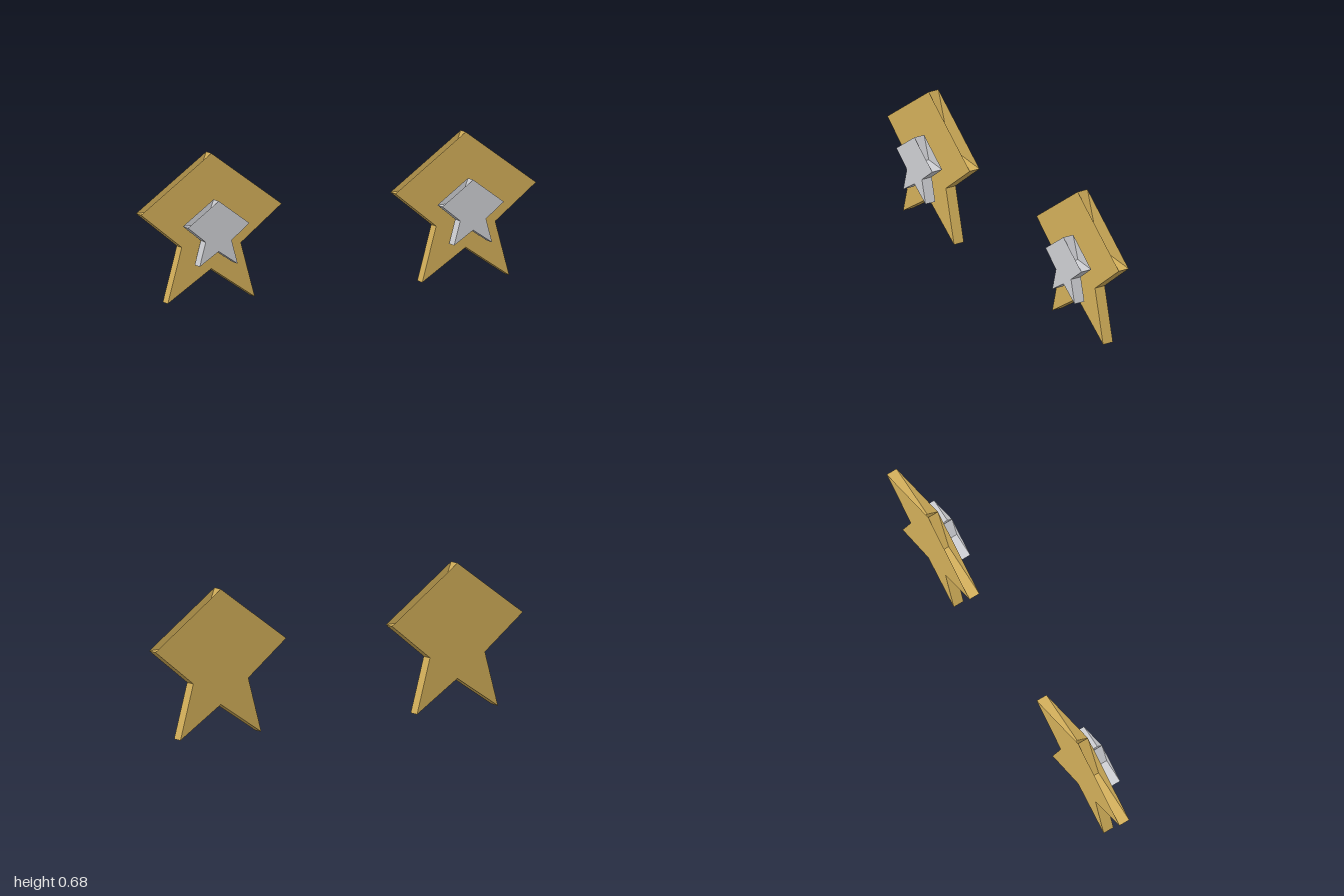
import * as THREE from 'three';

const gold = new THREE.MeshStandardMaterial({ color: 0xd4b05a, side: THREE.DoubleSide });
gold.name = 'gold';
const silver = new THREE.MeshStandardMaterial({ color: 0xcfd0d4, side: THREE.DoubleSide });
silver.name = 'silver';

// Ten corners of a regular star, clockwise from the top point
function starPoints(radius) {
  const points = [];
  for (let i = 0; i < 10; i++) {
    const r = i % 2 ? radius * 0.42 : radius;
    const a = (i * Math.PI) / 5;
    points.push([r * Math.sin(a), r * Math.cos(a)]);
  }
  return points;
}

// Star walls between two flat caps; the caps fan out from the top point,
// so they bridge the two upper notches while the walls fold inward there
function starGeometry(radius, depth) {
  const p = starPoints(radius);
  const h = depth / 2;
  const v = [];
  const put = (i, z) => v.push(p[i][0], p[i][1], z);

  for (let i = 0; i < 10; i++) {
    const j = (i + 1) % 10;
    put(i, h); put(j, -h); put(i, -h);
    put(i, h); put(j, h); put(j, -h);
  }
  for (let i = 1; i < 9; i++) {
    // the notch triangles at either end of the fan turn the other way
    const notch = i === 1 || i === 8;
    const a = notch ? i : i + 1;
    const b = notch ? i + 1 : i;
    put(0, h); put(a, h); put(b, h);
    put(0, -h); put(b, -h); put(a, -h);
  }

  const geometry = new THREE.BufferGeometry();
  geometry.setAttribute('position', new THREE.Float32BufferAttribute(v, 3));
  geometry.computeVertexNormals();
  return geometry;
}

export function createModel() {
  const model = new THREE.Group();
  model.name = 'starPair';
  const largeStar = starGeometry(0.3743, 0.052);
  const smallStar = starGeometry(0.1635, 0.052);

  for (const side of [-1, 1]) {
    const badge = new THREE.Group();
    badge.name = side < 0 ? 'rightBadge' : 'leftBadge';
    badge.position.x = side * 0.644;

    // Large star behind
    const back = new THREE.Mesh(largeStar, gold);
    back.name = 'largeStar';
    back.position.set(0, 0.303, -0.038);

    // Small star floating in front
    const front = new THREE.Mesh(smallStar, silver);
    front.name = 'smallStar';
    front.position.set(0, 0.305, 0.038);

    badge.add(back, front);
    model.add(badge);
  }
  return model;
}
